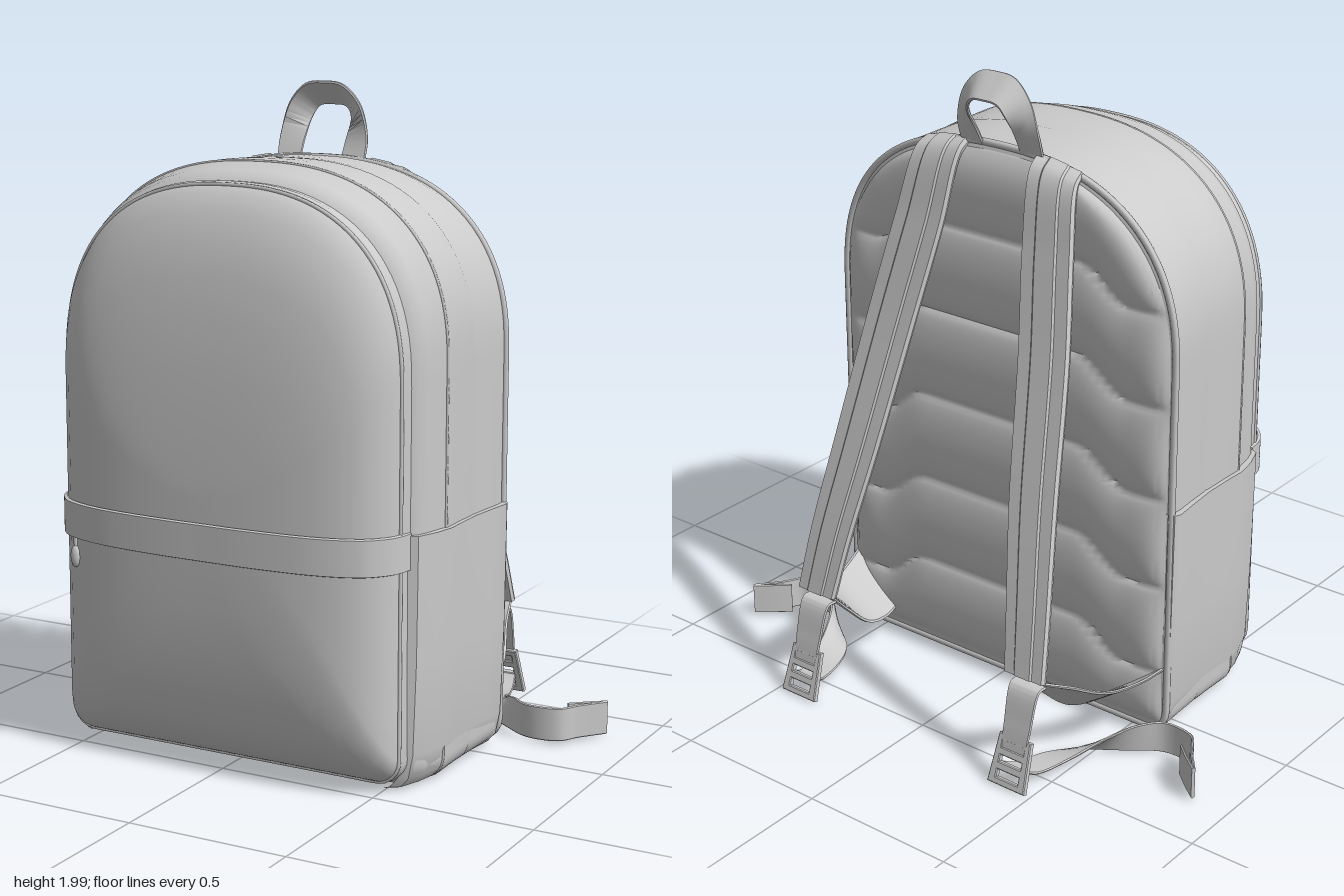
import * as THREE from 'three';
import { toCreasedNormals } from 'three/addons/utils/BufferGeometryUtils.js';

const V = (x, y, z) => new THREE.Vector3(x, y, z);
const material = new THREE.MeshStandardMaterial({ color: 0xcccccc, roughness: 0.8 });
const EXP = 2.4, ARCH = 0.55;

function add(group, name, geometry) {
  const mesh = new THREE.Mesh(geometry, material);
  mesh.name = name;
  group.add(mesh);
  return mesh;
}

// Skin a list of equally long point rows; rows may be closed loops or open strips.
function loft(rows, closed = true, crease = 0.7) {
  const n = rows[0].length, pos = [], index = [];
  rows.forEach(r => r.forEach(p => pos.push(p.x, p.y, p.z)));
  for (let i = 0; i < rows.length - 1; i++) {
    for (let j = 0; j < (closed ? n : n - 1); j++) {
      const k = (j + 1) % n, a = i * n, b = a + n;
      index.push(a + j, a + k, b + k, a + j, b + k, b + j);
    }
  }
  const g = new THREE.BufferGeometry();
  g.setAttribute('position', new THREE.Float32BufferAttribute(pos, 3));
  g.setIndex(index);
  g.computeVertexNormals();
  return toCreasedNormals(g, crease);
}

// Arched bag outline, counter-clockwise seen from the front.
function outline(z, hw, top, bottom, r = 0.07) {
  const pts = [], base = top - ARCH;
  const corner = (cx, from) => {
    for (let i = 0; i <= 8; i++) {
      const a = from + (i / 8) * Math.PI / 2;
      pts.push(V(cx + r * Math.cos(a), bottom + r + r * Math.sin(a), z));
    }
  };
  const line = (x0, y0, x1, y1, n) => {
    for (let i = 1; i < n; i++) pts.push(V(x0 + (x1 - x0) * i / n, y0 + (y1 - y0) * i / n, z));
  };
  corner(-hw + r, Math.PI);
  line(-hw + r, bottom, hw - r, bottom, 12);
  corner(hw - r, Math.PI * 1.5);
  line(hw, bottom + r, hw, base, 12);
  for (let i = 0; i <= 48; i++) {
    const a = (i / 48) * Math.PI, c = Math.cos(a), s = Math.max(0, Math.sin(a));
    pts.push(V(hw * Math.sign(c) * Math.abs(c) ** (2 / EXP), base + ARCH * s ** (2 / EXP), z));
  }
  line(-hw, base, -hw, bottom + r, 12);
  return pts;
}

// Flat strap along a path. Each key is [x, y, z, wx, wy, wz], w being the half-width vector.
function ribbon(keys, thick, side = 1, ridge = 0, steps = 48) {
  const path = new THREE.CatmullRomCurve3(keys.map(k => V(side * k[0], k[1], k[2])));
  const wide = new THREE.CatmullRomCurve3(keys.map(k => V(k[3], side * k[4], side * k[5])), false, 'catmullrom');
  const t = thick / 2;
  const section = [[-0.94, -t], [0.94, -t], [1, 0], [0.94, t], [0.45, t], [0.38, t + ridge],
    [-0.38, t + ridge], [-0.45, t], [-0.94, t], [-1, 0]];
  const rows = [];
  for (let i = 0; i <= steps; i++) {
    const u = i / steps, p = path.getPoint(u), w = wide.getPoint(u);
    const n = path.getTangent(u).cross(w).normalize();
    rows.push(section.map(([a, b]) => p.clone().addScaledVector(w, a).addScaledVector(n, b)));
  }
  const cap = u => section.map(() => path.getPoint(u));
  return loft([cap(0), ...rows, cap(1)], true, 0.6);
}

function seam(points, radius) {
  return new THREE.TubeGeometry(new THREE.CatmullRomCurve3(points, true), 240, radius, 6, true);
}

// Front dome profile: [scale, z]
const DOME = [[1, 0.45], [0.985, 0.477], [0.95, 0.508], [0.89, 0.542], [0.82, 0.563],
  [0.73, 0.581], [0.6, 0.597], [0.4, 0.608], [0.2, 0.613], [0, 0.614]];

// One dome ring: corners soften inwards and the upper half slopes back more gently
function domeRing([s, z]) {
  return outline(z, 0.56, 1.735, 0.04, 0.07 + 0.45 * (1 - s)).map(p => {
    const dy = p.y - 0.85;
    return V(p.x * s, 0.85 + dy * (dy > 0 ? s ** 1.7 : s), z);
  });
}

function quiltedBack() {
  const rows = [], bottom = 0.05, top = 1.755, hw = 0.61;
  for (let i = 0; i <= 160; i++) {
    const v = i / 160, y = bottom + (top - bottom) * v;
    const rise = Math.max(0, (y - top + ARCH) / ARCH);
    const half = hw * Math.max(0, 1 - rise ** EXP) ** (1 / EXP);
    const row = [];
    for (let j = 0; j <= 60; j++) {
      const u = Math.sin((1 - j / 30) * Math.PI / 2), x = u * half;
      const drop = 0.1 * THREE.MathUtils.smoothstep(Math.abs(x), 0.3, 0.48);
      const rib = Math.abs(Math.sin(Math.PI * (y + drop - 0.33) / 0.29)) ** 0.4;
      const edge = (1 - Math.abs(u) ** 20) * (1 - Math.abs(2 * v - 1) ** 24);
      row.push(V(x, y, -0.098 - edge * (0.006 + 0.031 * rib)));
    }
    rows.push(row);
  }
  return loft(rows, false, 1.2);
}

function sidePocket(side) {
  const sections = [[-0.1, 0.6], [-0.095, 0.622], [-0.075, 0.63], [0, 0.622], [0.1, 0.613], [0.2, 0.613],
    [0.27, 0.616], [0.34, 0.603], [0.41, 0.578], [0.425, 0.55]];
  const profile = [[-0.08, 0.01], [-0.035, 0.02], [-0.01, 0.05], [0.004, 0.12], [0.013, 0.4], [0.016, 0.77], [-0.04, 0.77]];
  return loft(sections.map(([z, hw]) => {
    const row = profile.map(([dx, y]) => V(side * (hw + dx), y, z));
    return side > 0 ? row : row.reverse();
  }), false, 0.6);
}

function buckle() {
  const s = new THREE.Shape();
  s.moveTo(-0.065, -0.075).lineTo(0.065, -0.075).lineTo(0.055, 0.075).lineTo(-0.055, 0.075).closePath();
  for (const [lo, hi] of [[-0.06, -0.03], [-0.012, 0.015], [0.033, 0.06]]) {
    const h = new THREE.Path();
    h.moveTo(-0.043, lo).lineTo(-0.043, hi).lineTo(0.043, hi).lineTo(0.043, lo).closePath();
    s.holes.push(h);
  }
  const g = new THREE.ExtrudeGeometry(s, { depth: 0.014, bevelSize: 0.003, bevelThickness: 0.003, bevelSegments: 1 });
  return g.translate(0, 0, -0.007);
}

export function createModel() {
  const bag = new THREE.Group();
  bag.name = 'backpack';

  // Main body: [z, half width, top, bottom], with shallow seam grooves and a domed front
  const sections = [[-0.1, 0.605, 1.755, 0.04], [-0.09, 0.624, 1.772, 0.022], [-0.05, 0.626, 1.78, 0.014],
    [0.02, 0.62, 1.782, 0.011], [0.09, 0.616, 1.784, 0.01], [0.1, 0.614, 1.782, 0.012], [0.11, 0.616, 1.785, 0.01],
    [0.2, 0.616, 1.789, 0.01], [0.27, 0.618, 1.79, 0.01], [0.29, 0.609, 1.781, 0.014], [0.36, 0.595, 1.768, 0.018],
    [0.395, 0.584, 1.757, 0.024], [0.41, 0.568, 1.74, 0.04], [0.42, 0.568, 1.74, 0.04],
    [0.432, 0.566, 1.742, 0.036]];
  const rows = sections.map(s => outline(...s));
  rows.unshift(rows[0].map(() => V(0, 0.85, -0.1)));
  rows.push(...DOME.map(domeRing));
  add(bag, 'body', loft(rows));
  add(bag, 'backPiping', seam(outline(-0.092, 0.624, 1.772, 0.024), 0.011));
  add(bag, 'panelSeam', seam(outline(0.276, 0.614, 1.786, 0.014), 0.005));
  add(bag, 'frontPocketPiping', seam(outline(0.452, 0.558, 1.733, 0.042), 0.007));
  add(bag, 'quiltedBackPanel', quiltedBack());

  // Band over the front pocket zip
  const half = [[0.566, 0.415], ...DOME.slice(0, -1).map(([s, z]) => [0.56 * s, z + 0.005])];
  const band = [...half, [0, 0.618], ...half.slice().reverse().map(([x, z]) => [-x, z])];
  add(bag, 'frontBand', ribbon(band.map(([x, z]) => [x, 0.725, z, 0, 0.056, 0]), 0.018, 1, 0, 80));

  // Zip pull
  const cord = add(bag, 'zipCord', new THREE.CylinderGeometry(0.006, 0.006, 0.06, 8));
  cord.position.set(-0.47, 0.655, 0.562);
  const pull = add(bag, 'zipPull', new THREE.SphereGeometry(1, 16, 12));
  pull.scale.set(0.016, 0.034, 0.012);
  pull.position.set(-0.47, 0.612, 0.564);

  // Carry handle
  const handle = [[0.11, 1.765, -0.095, 0.042, 0, 0], [0.11, 1.83, -0.12, 0.04, 0.008, 0.006],
    [0.094, 1.91, -0.143, 0.026, 0.024, 0.026], [0.055, 1.955, -0.146, 0.01, 0.034, 0.034]];
  const mirrored = handle.slice().reverse().map(([x, y, z, wx, wy, wz]) => [-x, y, z, -wx, wy, wz]);
  add(bag, 'carryHandle', ribbon([...handle, [0, 1.962, -0.146, 0, 0.036, 0.036], ...mirrored], 0.01));

  for (const side of [1, -1]) {
    const label = side > 0 ? 'left' : 'right';
    add(bag, label + 'SidePocket', sidePocket(side));

    // Padded shoulder strap with raised centre webbing
    add(bag, label + 'ShoulderStrap', ribbon([
      [0.205, 1.755, -0.085, -0.082, 0.014, 0], [0.213, 1.725, -0.13, -0.085, 0.01, 0],
      [0.24, 1.52, -0.19, -0.09, 0, 0], [0.285, 1.24, -0.265, -0.09, 0, 0],
      [0.34, 0.83, -0.385, -0.085, 0, 0], [0.385, 0.54, -0.465, -0.078, 0, 0],
      [0.41, 0.34, -0.513, -0.072, 0, 0]], 0.026, side, 0.005));

    // Wing joining the strap end to the lower body
    add(bag, label + 'StrapWing', ribbon([
      [0.53, 0.18, -0.09, 0.09, 0.07, 0], [0.505, 0.168, -0.18, 0.09, 0.065, 0],
      [0.475, 0.185, -0.29, 0.08, 0.05, 0], [0.44, 0.265, -0.41, 0.065, 0.025, 0],
      [0.415, 0.335, -0.505, 0.06, 0, 0]], 0.01, side));

    add(bag, label + 'BuckleWebbing', ribbon([
      [0.412, 0.31, -0.485, -0.055, 0, 0], [0.413, 0.308, -0.518, -0.055, 0, 0],
      [0.415, 0.2, -0.555, -0.05, 0, 0], [0.415, 0.11, -0.576, -0.045, 0, 0]], 0.01, side));

    const clip = add(bag, label + 'Buckle', buckle());
    clip.position.set(side * 0.415, 0.085, -0.583);
    clip.rotation.x = 0.32;

    // Loose adjusting tail that twists upright
    add(bag, label + 'StrapTail', ribbon([
      [0.415, 0.07, -0.585, 0.045, 0, 0], [0.43, 0.045, -0.53, 0.047, 0, 0],
      [0.465, 0.045, -0.42, 0.05, 0.01, 0], [0.525, 0.055, -0.31, 0.04, 0.035, 0],
      [0.6, 0.066, -0.235, 0.015, 0.05, 0], [0.68, 0.07, -0.175, 0, 0.053, 0],
      [0.78, 0.07, -0.185, 0, 0.053, 0], [0.82, 0.07, -0.245, 0, 0.053, 0],
      [0.882, 0.07, -0.322, 0, 0.053, 0]], 0.008, side));
    // Folded hem at the tail's end
    add(bag, label + 'TailHem', ribbon([
      [0.785, 0.07, -0.245, 0, 0.053, 0], [0.83, 0.07, -0.285, 0, 0.053, 0],
      [0.882, 0.07, -0.326, 0, 0.053, 0]], 0.008, side, 0, 8));
  }
  return bag;
}
